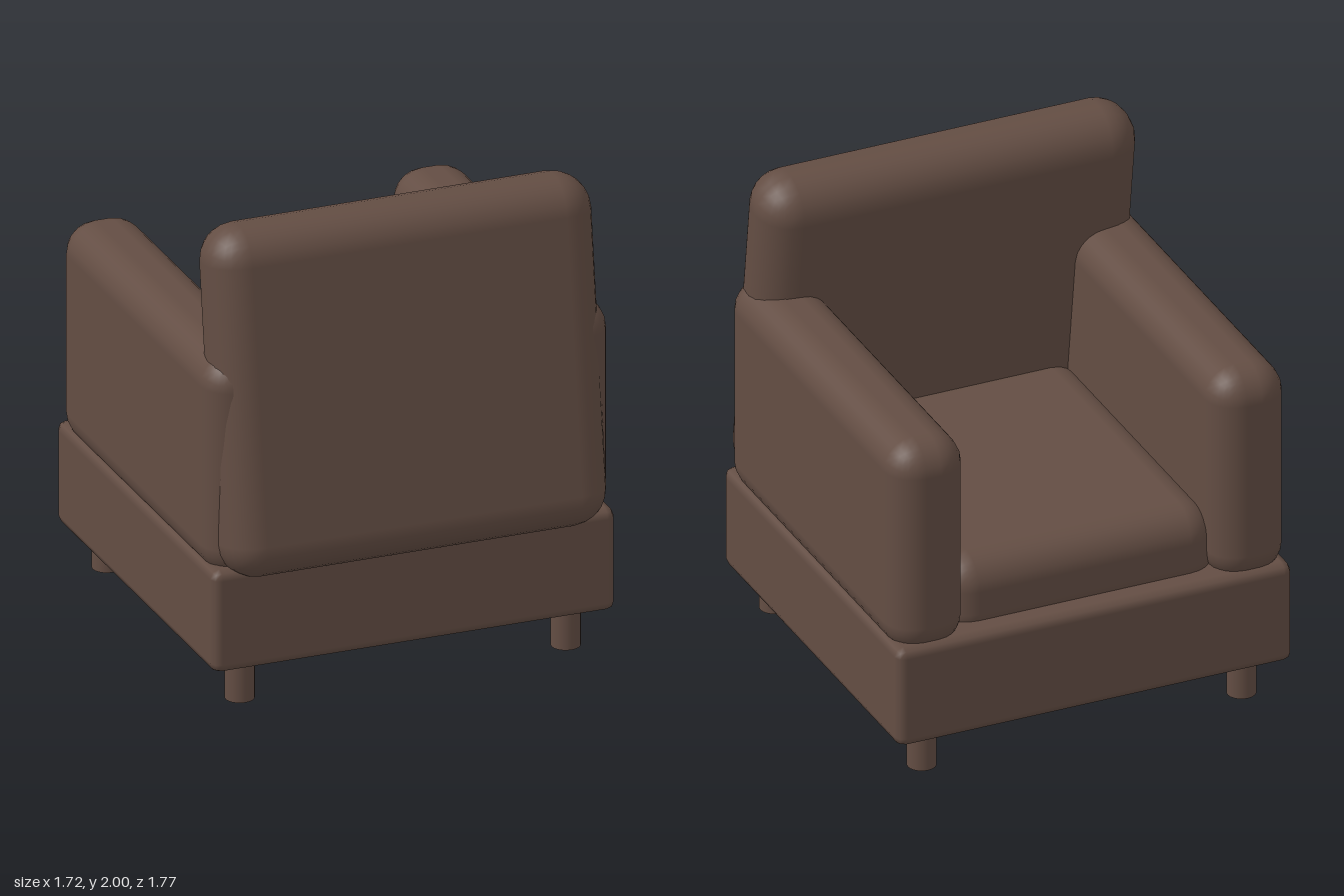
import * as THREE from 'three';
import { RoundedBoxGeometry } from 'three/addons/geometries/RoundedBoxGeometry.js';

export function createModel() {
  const group = new THREE.Group();
  group.name = 'armchair';
  const upholstery = new THREE.MeshStandardMaterial({ color: 0x634d43 });
  upholstery.name = 'brown upholstery';

  const add = (name, geometry, x, y, z) => {
    const mesh = new THREE.Mesh(geometry, upholstery);
    mesh.name = name;
    mesh.position.set(x, y, z);
    group.add(mesh);
    return mesh;
  };
  // Soft block given by its size, edge radius and centre
  const block = (name, [w, h, d], radius, segments, [x, y, z]) =>
    add(name, new RoundedBoxGeometry(w, h, d, segments, radius), x, y, z);

  // Plinth with narrow bevels
  block('base', [1.72, 0.44, 1.67], 0.04, 1, [0, 0.39, -0.05]);

  // Seat cushion, tucked under the arms and backrest
  block('seatCushion', [1.18, 0.36, 1.43], 0.13, 3, [0, 0.69, -0.07]);

  // Backrest leaning back
  const back = block('backrest', [1.64, 1.45, 0.32], 0.15, 3, [0, 1.28, 0.65]);
  back.rotation.x = -THREE.MathUtils.degToRad(7.8);

  for (const side of [-1, 1]) {
    const label = side > 0 ? 'left' : 'right';
    // Armrests
    block(label + 'Armrest', [0.325, 0.94, 1.64], 0.13, 3, [side * 0.6975, 1.02, -0.05]);
    // Round legs
    for (const [end, z] of [['Front', -0.745], ['Back', 0.65]]) {
      add(label + end + 'Leg', new THREE.CylinderGeometry(0.06, 0.06, 0.2, 20), side * 0.695, 0.1, z);
    }
  }
  return group;
}
